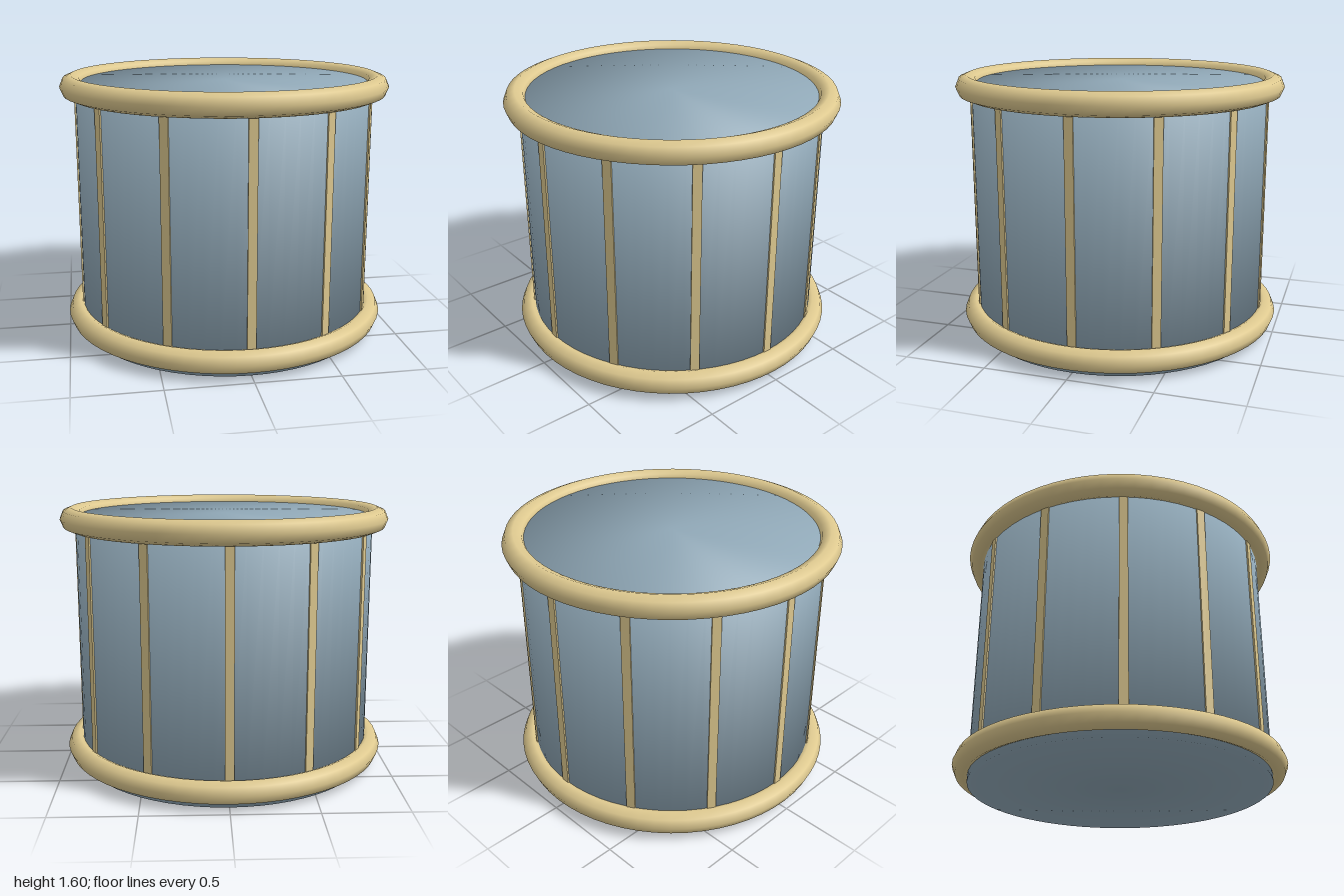
import * as THREE from 'three';

const BODY_RADIUS = 0.907, BODY_HEIGHT = 1.55;
const RING_RADIUS = 0.931, TUBE_RADIUS = 0.069;
const RING_HEIGHTS = { bottomHoop: 0.1, topHoop: 1.526 };
const SLATS = 12;

// Closed cylinder whose normals blend softly over the rims
function softCylinder(radius, height, sides) {
  const geometry = new THREE.CylinderGeometry(radius, radius, height, sides);
  const pos = geometry.attributes.position, normal = geometry.attributes.normal;
  const n = new THREE.Vector3();
  for (let i = 0; i < pos.count; i++) {
    n.set(pos.getX(i) / radius, Math.sign(pos.getY(i)), pos.getZ(i) / radius).normalize();
    normal.setXYZ(i, n.x, n.y, n.z);
  }
  return geometry;
}

export function createModel() {
  const model = new THREE.Group();
  model.name = 'drum';

  const shellBlue = new THREE.MeshStandardMaterial({ color: 0x90a8b7 });
  shellBlue.name = 'shellBlue';
  const paleGold = new THREE.MeshStandardMaterial({ color: 0xdfca90 });
  paleGold.name = 'paleGold';

  const add = (name, geometry, material) => {
    const mesh = new THREE.Mesh(geometry, material);
    mesh.name = name;
    model.add(mesh);
    return mesh;
  };

  // Shell with both drum heads
  add('shell', softCylinder(BODY_RADIUS, BODY_HEIGHT, 64), shellBlue).position.y = BODY_HEIGHT / 2;

  // Hoops around the top and bottom
  for (const [name, y] of Object.entries(RING_HEIGHTS)) {
    const hoop = add(name, new THREE.TorusGeometry(RING_RADIUS, TUBE_RADIUS, 8, 64), paleGold);
    hoop.rotation.x = -Math.PI / 2;
    hoop.position.y = y;
  }

  // Upright slats between the hoops
  const { bottomHoop, topHoop } = RING_HEIGHTS;
  const slatGeometry = new THREE.BoxGeometry(0.052, topHoop - bottomHoop, 0.03);
  for (let i = 0; i < SLATS; i++) {
    const angle = (i / SLATS) * Math.PI * 2;
    const slat = add('slat' + (i + 1), slatGeometry, paleGold);
    slat.position.set(Math.sin(angle) * 0.9, (topHoop + bottomHoop) / 2, Math.cos(angle) * 0.9);
    slat.rotation.y = angle;
  }

  return model;
}
